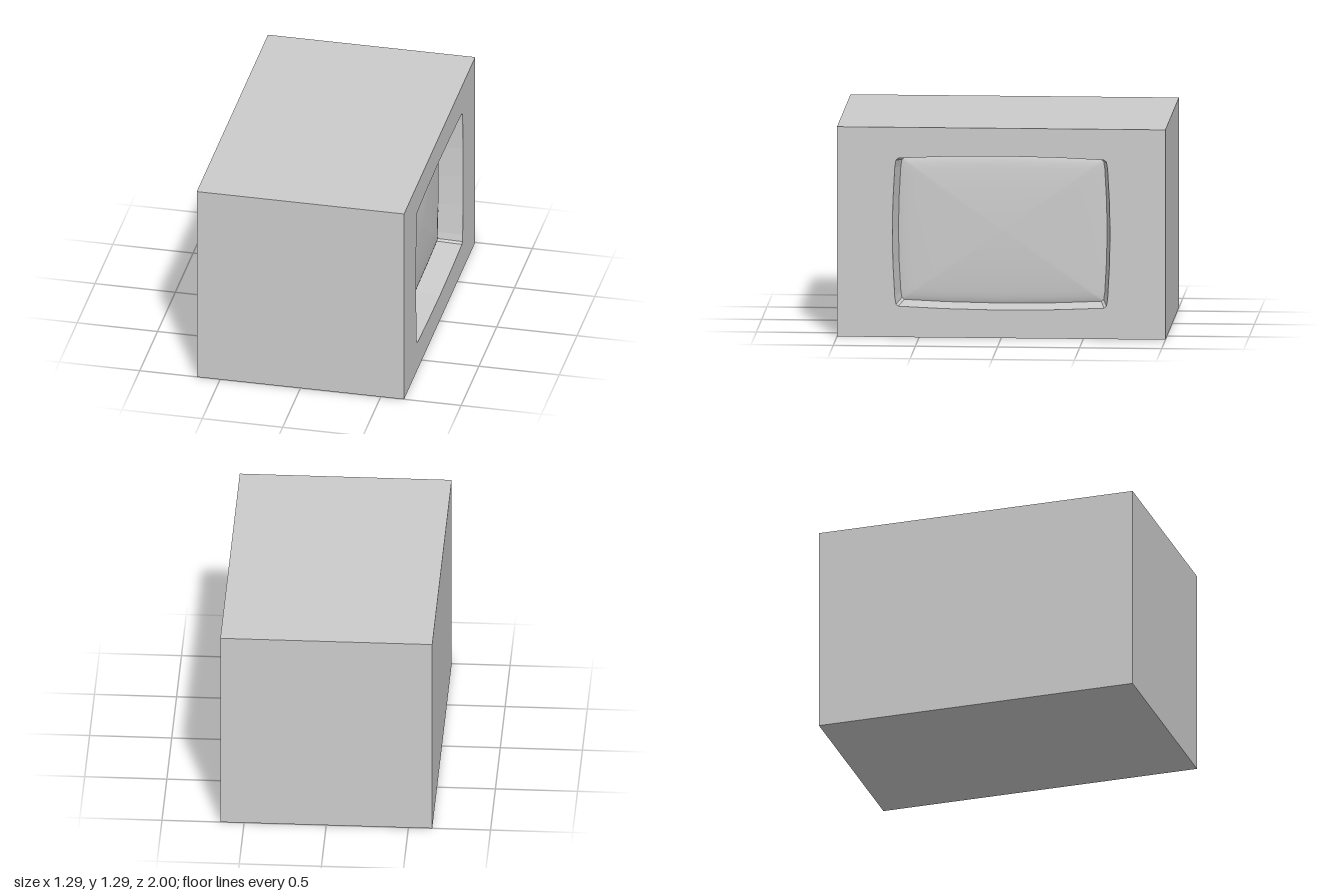
import * as THREE from 'three';

const HALF = 0.645, LENGTH = 2, DEPTH = 0.15, INNER = 0.958;

// One quarter of the bowed, round-cornered window outline, from side middle to top middle
const QUARTER = [[0.663, 0], [0.659, 0.2], [0.648, 0.4], [0.641, 0.443], [0.626, 0.455], [0.35, 0.467], [0, 0.473]];

// Mirror the quarter into a closed counter-clockwise outline
function outline(scale = 1) {
  const points = [];
  for (const [sx, sy] of [[1, 1], [-1, 1], [-1, -1], [1, -1]]) {
    const part = sx * sy > 0 ? QUARTER : [...QUARTER].reverse();
    for (const [u, v] of part.slice(0, -1)) points.push(new THREE.Vector2(sx * u * scale, sy * v * scale));
  }
  return points;
}

// Skin between successive scaled outlines, given as [scale, height]
function loft(rings) {
  const position = [], index = [];
  const n = outline().length;
  for (const [scale, height] of rings) {
    for (const p of outline(scale)) position.push(p.x, p.y, height);
  }
  for (let r = 0; r < rings.length - 1; r++) {
    for (let i = 0; i < n; i++) {
      const a = r * n + i, b = r * n + (i + 1) % n;
      index.push(a, b, b + n, a, b + n, a + n);
    }
  }
  const geometry = new THREE.BufferGeometry();
  geometry.setAttribute('position', new THREE.Float32BufferAttribute(position, 3));
  geometry.setIndex(index);
  geometry.computeVertexNormals();
  return geometry;
}

export function createModel() {
  const model = new THREE.Group();
  model.name = 'cabinetWithScreen';
  const flat = new THREE.MeshStandardMaterial({ color: 0xcccccc, flatShading: true });
  const smooth = new THREE.MeshStandardMaterial({ color: 0xcccccc });

  const add = (name, geometry, material, parent) => {
    const mesh = new THREE.Mesh(geometry, material);
    mesh.name = name;
    parent.add(mesh);
  };

  // Cabinet: a box without its +x side, which is replaced by the pierced panel
  const box = new THREE.BoxGeometry(2 * HALF, 2 * HALF, LENGTH);
  box.setIndex(Array.from(box.index.array).slice(6));
  box.clearGroups();
  box.translate(0, HALF, 0);
  add('cabinet', box, flat, model);

  // Screen side, built facing +z and turned to face +x
  const side = new THREE.Group();
  side.name = 'screenSide';
  side.position.set(HALF, HALF, 0);
  side.rotation.y = Math.PI / 2;
  model.add(side);

  // Panel around the window
  const w = LENGTH / 2;
  const panel = new THREE.Shape([[-w, -HALF], [w, -HALF], [w, HALF], [-w, HALF]].map(([x, y]) => new THREE.Vector2(x, y)));
  panel.holes.push(new THREE.Path(outline()));
  add('panel', new THREE.ShapeGeometry(panel), flat, side);

  // Tapering walls of the recess
  add('recessWall', loft([[1, 0], [INNER, -DEPTH]]), flat, side);

  // Gently domed screen, falling off more steeply at its rim
  const rings = [1, 0.985, 0.96, 0.92, 0.85, 0.7, 0.5, 0.25, 0].map(
    (s) => [INNER * s, -DEPTH + 0.025 * (1 - s * s) + 0.012 * (1 - s ** 16)]);
  add('screen', loft(rings), smooth, side);

  return model;
}
